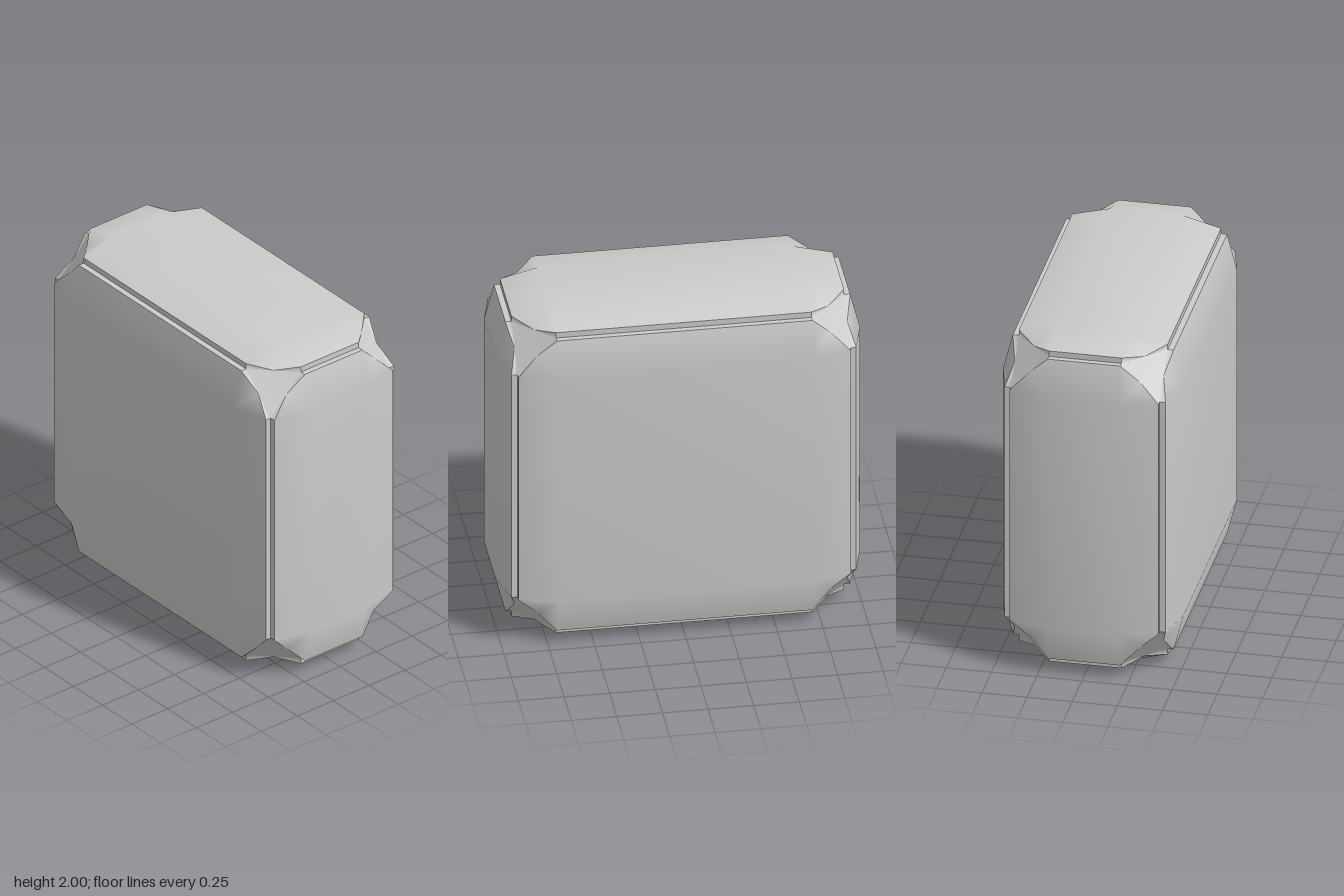
import * as THREE from 'three';
import { mergeVertices } from 'three/addons/utils/BufferGeometryUtils.js';

const CORE = [0.2, 0.7, 0.7]; // half size of the flat part of each face
const OUT = 0.3;   // height of the flat face above the core
const LIP = 0.245; // height of the panel rim
const BED = 0.212; // groove bottom, and reach of the rim in its plane
const HALF = BED / 2;

const material = new THREE.MeshStandardMaterial({ color: 0xcccccc });

// Point given by its signs and its offsets from the core box
const at = (sign, off) => sign.map((s, i) => s * (CORE[i] + off[i]));

// Offsets listed by axis: offsets(axis, value, axis, value, ...)
function offsets(...pairs) {
  const o = [0, 0, 0];
  for (let i = 0; i < pairs.length; i += 2) o[pairs[i]] = pairs[i + 1];
  return o;
}

// Adds a triangle, turned so that it faces away from the centre
function tri(list, a, b, c) {
  const [A, B, C] = [a, b, c].map((p) => new THREE.Vector3(...p));
  const n = B.clone().sub(A).cross(C.clone().sub(A));
  const outward = n.dot(A.clone().add(B).add(C)) > 0;
  list.push(...a, ...(outward ? b : c), ...(outward ? c : b));
}
function quad(list, a, b, c, d) {
  tri(list, a, b, c);
  tri(list, a, c, d);
}

function mesh(name, list, smooth) {
  let geo = new THREE.BufferGeometry();
  geo.setAttribute('position', new THREE.Float32BufferAttribute(list, 3));
  if (smooth) geo = mergeVertices(geo, 1e-4);
  geo.computeVertexNormals();
  const m = new THREE.Mesh(geo, material);
  m.name = name;
  return m;
}

// Flat face with sloping rims and cut corners
function panel(n, side) {
  const u = (n + 1) % 3, v = (n + 2) % 3, list = [];
  const p = (su, sv, off) => {
    const s = [0, 0, 0];
    s[n] = side; s[u] = su; s[v] = sv;
    return at(s, off);
  };
  const top = offsets(n, OUT);
  const rimU = offsets(n, LIP, u, BED), rimV = offsets(n, LIP, v, BED);
  const cut = offsets(n, BED, u, HALF, v, HALF);
  quad(list, p(-1, -1, top), p(1, -1, top), p(1, 1, top), p(-1, 1, top));
  for (const s of [-1, 1]) {
    quad(list, p(s, -1, top), p(s, 1, top), p(s, 1, rimU), p(s, -1, rimU));
    quad(list, p(-1, s, top), p(1, s, top), p(1, s, rimV), p(-1, s, rimV));
    for (const t of [-1, 1]) {
      tri(list, p(s, t, top), p(s, t, rimU), p(s, t, cut));
      tri(list, p(s, t, top), p(s, t, cut), p(s, t, rimV));
    }
  }
  return mesh('facePanel', list, true);
}

// Stepped groove between two panels, running along axis a
function groove(a, su, sv) {
  const u = (a + 1) % 3, v = (a + 2) % 3, list = [];
  const p = (end, ou, ov) => {
    const s = [0, 0, 0];
    s[a] = end; s[u] = su; s[v] = sv;
    return at(s, offsets(u, ou, v, ov));
  };
  for (const [ou, ov] of [[LIP, BED], [BED, LIP]]) {
    quad(list, p(-1, BED, BED), p(1, BED, BED), p(1, ou, ov), p(-1, ou, ov));
  }
  return mesh('edgeGroove', list, false);
}

// Sunken three-armed corner joining the ends of three grooves
function corner(sign) {
  const list = [];
  const bed = [0, 1, 2].map((a) => at(sign, offsets((a + 1) % 3, BED, (a + 2) % 3, BED)));
  tri(list, ...bed);
  for (let n = 0; n < 3; n++) {
    const u = (n + 1) % 3, v = (n + 2) % 3;
    const cut = at(sign, offsets(n, BED, u, HALF, v, HALF));
    tri(list, at(sign, offsets(n, LIP, u, BED)), bed[v], cut);
    tri(list, at(sign, offsets(n, LIP, v, BED)), bed[u], cut);
  }
  return mesh('cornerPatch', list, true);
}

export function createModel() {
  const model = new THREE.Group();
  model.name = 'bevelledBlock';
  const block = new THREE.Group();
  block.name = 'block';
  block.position.y = 1;
  model.add(block);
  const signs = [-1, 1];
  for (let axis = 0; axis < 3; axis++) {
    for (const s of signs) {
      block.add(panel(axis, s));
      for (const t of signs) block.add(groove(axis, s, t));
    }
  }
  for (const x of signs) for (const y of signs) for (const z of signs) block.add(corner([x, y, z]));
  return model;
}
